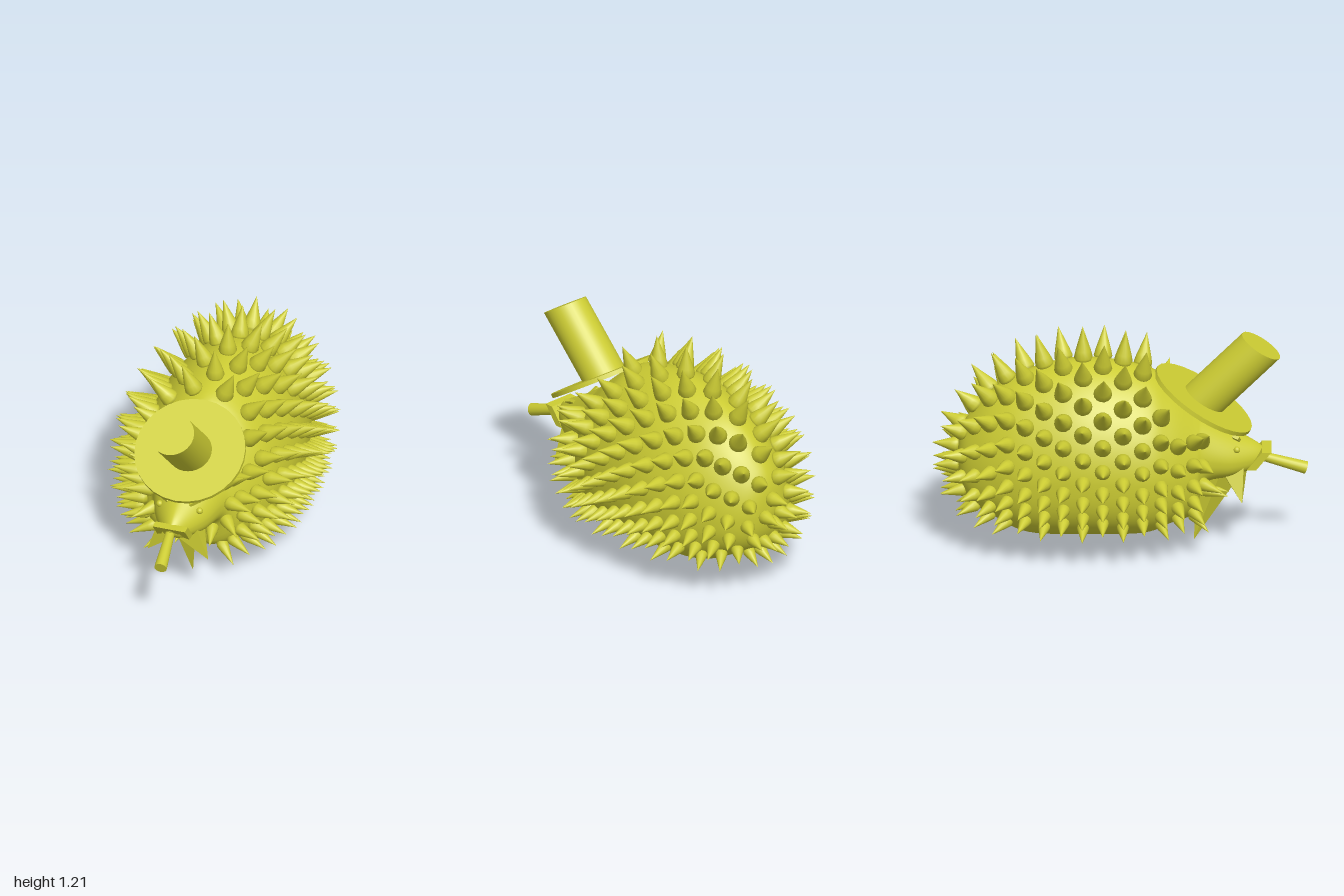
import * as THREE from 'three';
import { mergeGeometries, mergeVertices } from 'three/addons/utils/BufferGeometryUtils.js';

const material = new THREE.MeshStandardMaterial({ color: 0xcccc33 });
const flat = new THREE.MeshStandardMaterial({ color: 0xcccc33, flatShading: true, side: THREE.DoubleSide });
const V = (x, y, z) => new THREE.Vector3(x, y, z);
const UP = V(0, 1, 0);

// Body cross-sections from tail to snout: z, half width, bottom, top
const sections = [
  [-0.87, 0, 0.48, 0.48], [-0.85, 0.11, 0.35, 0.63], [-0.79, 0.2, 0.25, 0.74],
  [-0.67, 0.29, 0.18, 0.87], [-0.49, 0.37, 0.1, 0.975], [-0.2, 0.42, 0.095, 1.04],
  [0.12, 0.4, 0.1, 0.995], [0.27, 0.345, 0.15, 0.905], [0.4, 0.26, 0.2, 0.79],
  [0.45, 0.205, 0.36, 0.745], [0.6, 0.145, 0.395, 0.64], [0.73, 0.065, 0.44, 0.565], [0.79, 0, 0.51, 0.51],
];
const shapeCurve = new THREE.CatmullRomCurve3(sections.map(s => V(s[1], s[2], s[3])), false, 'catmullrom');
const zCurve = new THREE.CatmullRomCurve3(sections.map(s => V(s[0], 0, 0)), false, 'catmullrom');

// Point on the body: t runs tail to snout, a runs around from the top towards +x
function bodyPoint(t, a) {
  const s = shapeCurve.getPoint(t), z = zCurve.getPoint(t).x;
  const width = Math.max(s.x, 0), mid = THREE.MathUtils.lerp(s.y, s.z, 0.41);
  const sin = Math.sin(a), cos = Math.cos(a);
  // narrow rounded back above the widest line, steep flanks and flat belly below
  const power = cos >= 0 ? 1.13 : 0.78;
  const reach = cos >= 0 ? s.z - mid : s.y - mid;
  return V(width * Math.sign(sin) * Math.abs(sin) ** power, mid + reach * Math.abs(cos) ** power, z);
}

function bodyNormal(t, a) {
  const e = 0.004;
  const along = bodyPoint(Math.min(t + e, 1), a).sub(bodyPoint(Math.max(t - e, 0), a));
  const around = bodyPoint(t, a + e).sub(bodyPoint(t, a - e));
  return along.cross(around).normalize();
}

function bodyGeometry() {
  const rows = 72, cols = 56, pos = [], index = [];
  for (let i = 0; i <= rows; i++)
    for (let j = 0; j < cols; j++) pos.push(...bodyPoint(i / rows, (j / cols) * Math.PI * 2).toArray());
  for (let i = 0; i < rows; i++)
    for (let j = 0; j < cols; j++) {
      const k = (j + 1) % cols, a = i * cols + j, b = a + cols, c = i * cols + k, d = c + cols;
      index.push(a, b, c, b, d, c);
    }
  let g = new THREE.BufferGeometry();
  g.setAttribute('position', new THREE.Float32BufferAttribute(pos, 3));
  g.setIndex(index);
  g = mergeVertices(g, 1e-5);
  g.computeVertexNormals();
  return g;
}

// Aim a geometry that stands on the origin along +y
function aim(g, from, to) {
  const dir = to.clone().sub(from).normalize();
  g.applyQuaternion(new THREE.Quaternion().setFromUnitVectors(UP, dir));
  return g.translate(from.x, from.y, from.z);
}

// Cone or cylinder between two points
function rod(from, to, r0, r1, sides) {
  const length = from.distanceTo(to);
  return aim(new THREE.CylinderGeometry(r1, r0, length, sides).translate(0, length / 2, 0), from, to);
}

// Teardrop spine: rounded root and sharp tip
function spine(from, to, r) {
  const length = from.distanceTo(to);
  const profile = [[0, -0.02], [0.75, -0.015], [1, 0.01], [0.8, 0.28 * length], [0.42, 0.62 * length], [0, length]];
  return aim(new THREE.LatheGeometry(profile.map(p => new THREE.Vector2(p[0] * r, p[1])), 14), from, to);
}

// Staggered rings of spines, closer together towards the belly
function spineGeometry() {
  const spines = [];
  const add = (t, a, sides) => {
    const p = bodyPoint(t, a), n = bodyNormal(t, a);
    if (n.y < 0) n.y *= 0.35; // low spines stay level
    if (n.z > 0) n.z *= 0.5; // front spines point sideways
    n.normalize();
    const high = THREE.MathUtils.clamp((p.y - 0.2) / 0.6, 0, 1);
    const length = (0.145 + 0.03 * high) * (p.z < -0.7 ? 0.85 : 1);
    const tip = p.clone().addScaledVector(n, length);
    // leave out those that would pierce the hat brim
    const across = (p.z - 0.442) * 0.845 - (p.y - 0.808) * 0.535;
    const above = (tip.z - 0.442) * 0.535 + (tip.y - 0.808) * 0.845;
    if (Math.hypot(p.x, across) < 0.28 && above > -0.02) return;
    for (const side of sides)
      spines.push(spine(V(p.x * side, p.y, p.z), V(tip.x * side, tip.y, tip.z), 0.032 + 0.018 * high));
  };
  let last = bodyPoint(0, Math.PI / 2), travelled = 0.05, ring = 0;
  for (let t = 0.004; t < 1; t += 0.002) {
    const here = bodyPoint(t, Math.PI / 2);
    travelled += here.distanceTo(last);
    last = here;
    if (here.z > 0.44) break;
    if (travelled < 0.1) continue;
    travelled = 0;
    ring++;
    // measure the ring from the back line down to the belly edge
    const angles = [], lengths = [];
    let total = 0, prev = bodyPoint(t, 0);
    for (let a = 0; a < Math.PI; a += 0.01) {
      const p = bodyPoint(t, a);
      if (p.y < 0.215) break;
      total += p.distanceTo(prev);
      prev = p;
      angles.push(a);
      lengths.push(total);
    }
    const count = Math.min(8, Math.round(total / 0.115));
    for (let k = ring % 2 ? 0 : 0.5; k <= count; k++) {
      const u = k / count, target = total * u * (1.38 - 0.38 * u) - 1e-6;
      const a = angles[lengths.findIndex(l => l >= target)];
      add(t, a, k === 0 ? [1] : [1, -1]);
    }
  }
  return mergeGeometries(spines);
}

export function createModel() {
  const model = new THREE.Group();
  const add = (name, geometry, mat = material, parent = model) => {
    const mesh = new THREE.Mesh(geometry, mat);
    mesh.name = name;
    parent.add(mesh);
    return mesh;
  };

  add('body', bodyGeometry());
  add('spines', spineGeometry());

  // Hat tilted forward, with a leaning crown
  const hat = new THREE.Group();
  hat.name = 'hat';
  hat.position.set(0, 0.808, 0.442);
  hat.rotation.x = 0.564;
  model.add(hat);
  add('hatBrim', new THREE.CylinderGeometry(0.3, 0.3, 0.024, 28), material, hat);
  const crown = new THREE.CylinderGeometry(0.12, 0.12, 0.426, 32).translate(0, 0.213, 0);
  crown.applyMatrix4(new THREE.Matrix4().makeShear(0, 0, 0, 0.225, 0, 0));
  crown.computeVertexNormals();
  add('hatCrown', crown, material, hat);

  // Eyes and slanted brows
  for (const side of [1, -1]) {
    const eye = add('eye', new THREE.SphereGeometry(0.018, 14, 10));
    eye.position.set(side * 0.112, 0.565, 0.622);
    const brow = add('brow', new THREE.BoxGeometry(0.065, 0.018, 0.035), flat);
    brow.position.set(side * 0.085, 0.62, 0.62);
    brow.rotation.set(0.3, side * 0.35, side * 0.5);
  }

  // Moustache: an upside-down U over the snout, its top leaning forward
  const outline = new THREE.Shape([
    [-0.09, 0.54], [-0.09, 0.44], [-0.065, 0.455], [-0.05, 0.49],
    [0.05, 0.49], [0.065, 0.455], [0.09, 0.44], [0.09, 0.54],
  ].map(p => new THREE.Vector2(...p)));
  const moustache = new THREE.ExtrudeGeometry(outline, { depth: 0.05, bevelEnabled: false }).translate(0, -0.54, 0);
  moustache.applyMatrix4(new THREE.Matrix4().makeShear(0, 0, 0, 0.8, 0, 0)).translate(0, 0.54, 0.755);
  add('moustache', moustache, flat);

  // Cigar
  add('cigar', rod(V(-0.008, 0.495, 0.74), V(0.015, 0.415, 0.99), 0.024, 0.034, 20));

  // Beard: one long point swept back and a shorter one on each side
  const beard = rod(V(0, 0.42, 0), V(0, 0.01, 0), 0.13, 0, 4);
  beard.scale(0.5, 1, 1);
  beard.applyMatrix4(new THREE.Matrix4().makeShear(0, 0, 0, 0.35, 0, 0)).translate(0, 0, 0.39);
  add('beardCentre', beard, flat);
  for (const side of [1, -1])
    add('beardSide', rod(V(side * 0.04, 0.45, 0.6), V(side * 0.17, 0.28, 0.65), 0.1, 0, 4), flat);

  return model;
}
